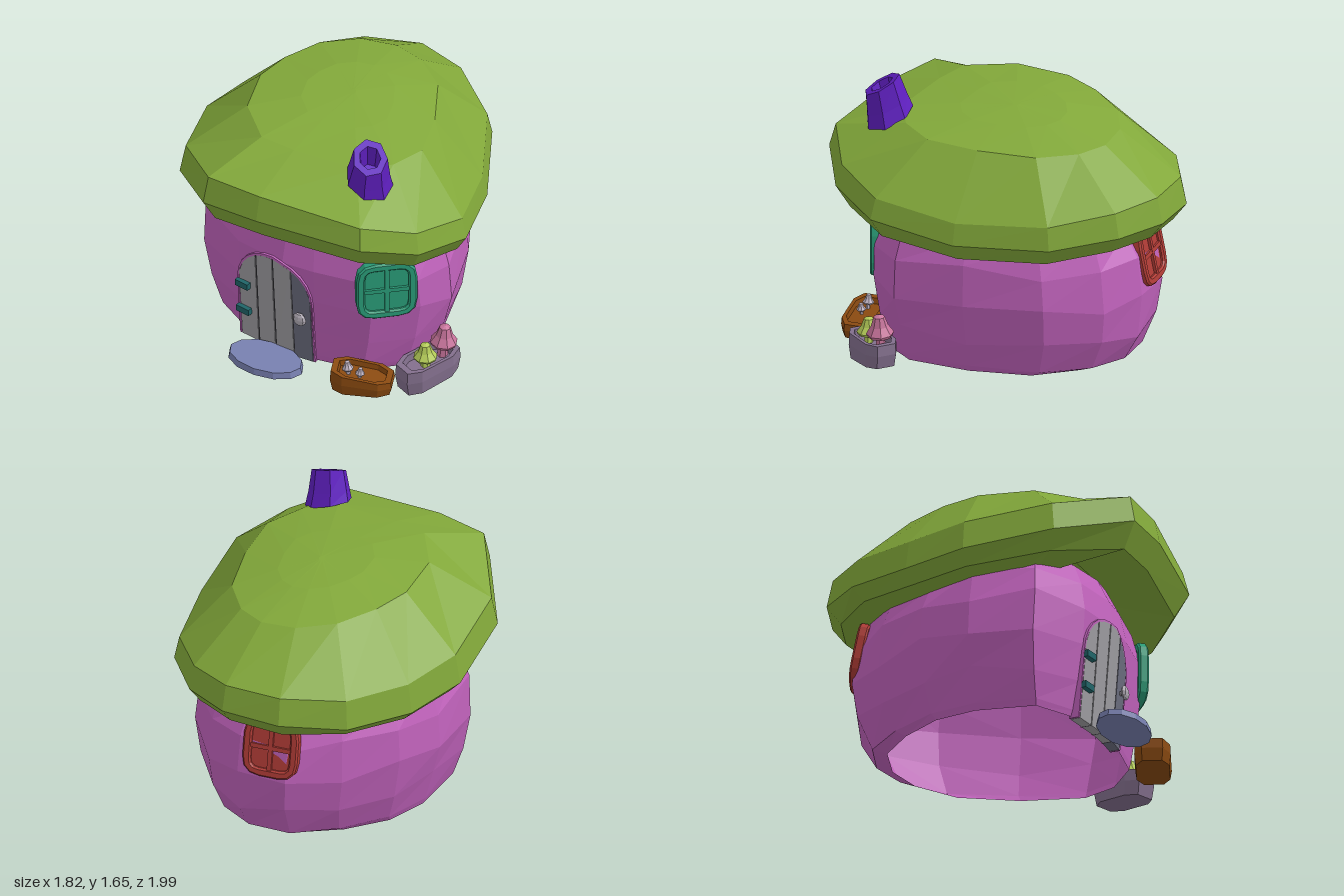
import * as THREE from 'three';

const mat = (color) => new THREE.MeshStandardMaterial({ color, flatShading: true, side: THREE.DoubleSide });
const WALL = mat(0xc062bb), ROOF = mat(0x82a83a), PURPLE = mat(0x5f1fc0), TEAL = mat(0x1f6468), GAP = mat(0x3c3a42);
const PLANK = mat(0x9f9ea2), DARK_PLANK = mat(0x6b6d7e), STONE = mat(0x7880b0), GREY = mat(0xb4aeb8);

function add(parent, name, geo, material, x = 0, y = 0, z = 0) {
  const m = new THREE.Mesh(geo, material);
  m.name = name;
  m.position.set(x, y, z);
  parent.add(m);
  return m;
}

// Skin over rings listed bottom to top, each counter-clockwise from above
function loft(rings, capStart = false) {
  const n = rings[0].length, pos = rings.flat(2), idx = [];
  for (let r = 0; r < rings.length - 1; r++)
    for (let i = 0; i < n; i++) {
      const a = r * n + i, b = r * n + (i + 1) % n;
      idx.push(a, b, b + n, a, b + n, a + n);
    }
  const cap = (r, flip) => {
    const c = pos.length / 3;
    for (let k = 0; k < 3; k++) pos.push(rings[r].reduce((s, p) => s + p[k], 0) / n);
    for (let i = 0; i < n; i++) {
      const a = r * n + i, b = r * n + (i + 1) % n;
      idx.push(...(flip ? [b, a, c] : [a, b, c]));
    }
  };
  cap(rings.length - 1, false);
  if (capStart) cap(0, true);
  const g = new THREE.BufferGeometry();
  g.setAttribute('position', new THREE.Float32BufferAttribute(pos, 3));
  g.setIndex(idx);
  g.computeVertexNormals();
  return g;
}

const ring = (n, f) => Array.from({ length: n }, (_, i) => f((i / n) * Math.PI * 2));
const sPow = (v, e) => Math.sign(v) * Math.abs(v) ** e;

// Piecewise linear interpolation through [t, value] pairs
function lerpTable(t, table) {
  for (let i = 1; i < table.length; i++)
    if (t <= table[i][0] || i === table.length - 1) {
      const [a, va] = table[i - 1], [b, vb] = table[i];
      return va + (vb - va) * (t - a) / (b - a);
    }
}

// Walls: egg-shaped plan, scaled per row (y, sideways, front, back)
const FRONT = [[-.38, .655], [-.06, .71], [.14, .7], [.48, .65]];
const PLAN = [...FRONT, [.7, .47], [.78, .25], [.66, -.16], [.45, -.58], [.17, -.795], [-.09, -.855],
  [-.37, -.77], [-.58, -.52], [-.74, -.2], [-.78, .11], [-.7, .48]];
const ROWS = [[.06, .845, .93, .75], [.1, .865, .94, .865], [.28, .94, .96, .97], [.5, 1, .985, 1], [.72, .98, 1, .965],
  [.9, .89, .945, .86], [1.05, .73, .84, .7], [1.16, .5, .65, .5], [1.25, .25, .3, .25]];

function walls() {
  return loft(ROWS.map(([y, s, f, b], r) => PLAN.map(([x, z], i) => {
    const wobble = z < .6 && r > 1 && r < 6 ? .03 * Math.sin(i * 2.3 + r * 1.7) : 0;
    return [x * s, y + wobble, z * (z > 0 ? f : b)];
  })));
}
const wallZ = (x, y) => lerpTable(x, FRONT) * lerpTable(y, ROWS.map((r) => [r[0], r[2]]));

// Roof: lopsided outline, rim height changes from back to front
function roof() {
  const outline = [[-.07, .99], [.56, .91], [.8, .66], [.91, .31], [.77, -.18], [.52, -.68], [.2, -.93],
    [-.1, -1], [-.43, -.9], [-.71, -.63], [-.86, -.24], [-.91, .13], [-.77, .63], [-.42, .98]];
  const rim = (z) => lerpTable(z, [[-1, 1], [-.65, .94], [-.2, .92], [.2, .97], [.65, 1.06], [1, 1.2]]);
  const under = (x, z) => rim(z) - .105 - .045 * Math.max(z, 0) + (x < -.5 ? .03 : 0);
  const at = (s, f) => outline.map(([x, z]) => [x * s, f(x, z), z * s]);
  return loft([
    at(.55, (x, z) => rim(z) - .1), at(.92, under), at(1, (x, z) => rim(z)),
    at(.965, (x, z) => rim(z) + .15 - .03 * x), at(.61, (x, z) => 1.42 - .03 * x + .035 * z),
    at(.3, (x, z) => 1.473 - .02 * x + .012 * z), at(.02, () => 1.489)]);
}

// Hollow leaning chimney
function chimney() {
  const r = (rad, y, cx, cz, sx, sz) => ring(7, (a) => {
    const x = rad * Math.sin(a + .3), z = rad * Math.cos(a + .3);
    return [cx + x, y + sx * x + sz * z, cz + z];
  });
  return loft([r(.135, 1.4, .43, .575, -.4, -.2), r(.12, 1.47, .437, .59, -.35, -.3), r(.1, 1.592, .455, .61, -.35, -.48),
    r(.062, 1.592, .455, .61, -.35, -.48), r(.05, 1.47, .44, .59, -.3, -.3)]);
}

function roundedRect(T, w, h, r) {
  const s = new T(), x = w / 2, y = h / 2;
  s.moveTo(-x + r, -y).lineTo(x - r, -y).quadraticCurveTo(x, -y, x, -y + r).lineTo(x, y - r);
  s.quadraticCurveTo(x, y, x - r, y).lineTo(-x + r, y).quadraticCurveTo(-x, y, -x, y - r).lineTo(-x, -y + r);
  s.quadraticCurveTo(-x, -y, -x + r, -y);
  return s;
}

// Rounded window with frame, pane and crossbars, facing +z
function windowGroup(name, color, w, h) {
  const g = new THREE.Group(), m = mat(color);
  g.name = name;
  const s = roundedRect(THREE.Shape, w - .02, h - .02, .1);
  s.holes.push(roundedRect(THREE.Path, w - .08, h - .08, .06));
  const bevel = { depth: .04, curveSegments: 3, bevelEnabled: true, bevelSize: .01, bevelThickness: .01, bevelSegments: 1 };
  add(g, 'windowFrame', new THREE.ExtrudeGeometry(s, bevel), m, 0, 0, -.02);
  add(g, 'windowPane', new THREE.BoxGeometry(w - .07, h - .07, .02), m, 0, 0, 0);
  add(g, 'windowBarUpright', new THREE.BoxGeometry(.026, h - .07, .025), m, 0, 0, .014);
  add(g, 'windowBarCross', new THREE.BoxGeometry(w - .07, .026, .025), m, 0, 0, .012);
  return g;
}

// Extrude a shape and move it so that it follows the curve of the wall
function onWall(shape, offset) {
  const geo = new THREE.ExtrudeGeometry(shape, { depth: .06, bevelEnabled: false }), p = geo.attributes.position;
  for (let i = 0; i < p.count; i++) p.setZ(i, p.getZ(i) - .06 + wallZ(p.getX(i), p.getY(i)) + offset);
  geo.computeVertexNormals();
  return geo;
}

function door() {
  const g = new THREE.Group();
  g.name = 'door';
  const cx = -.125, hw = .245;
  const top = (x) => .47 + .25 * Math.sqrt(Math.max(0, 1 - ((x - cx) / hw) ** 2));
  // board from x = a to x = b, up to the arch
  const board = (a, b) => {
    const s = new THREE.Shape().moveTo(a, .05).lineTo(b, .05);
    for (let i = 0; i <= 4; i++) { const x = b + (a - b) * i / 4; s.lineTo(x, top(x)); }
    return s;
  };
  const edges = [-.37, -.245, -.125, 0, .12];
  for (let k = 0; k < 4; k++) {
    add(g, 'doorPlank', onWall(board(edges[k] + .004, edges[k + 1] - .004), .014), k === 3 ? DARK_PLANK : PLANK);
    if (k) add(g, 'plankGap', onWall(board(edges[k] - .005, edges[k] + .005), .009), GAP);
  }
  // arched surround
  const pts = (w, h) => [[cx + w, .05], ...Array.from({ length: 13 }, (_, i) =>
    [cx + w * Math.cos(i / 12 * Math.PI), .47 + h * Math.sin(i / 12 * Math.PI)]), [cx - w, .05]];
  const arch = new THREE.Shape([...pts(.256, .265), ...pts(.245, .25).reverse()].map(([x, y]) => new THREE.Vector2(x, y)));
  add(g, 'doorSurround', onWall(arch, .014), WALL);
  for (const y of [.25, .44])
    add(g, 'hinge', new THREE.BoxGeometry(.09, .04, .05), TEAL, -.335, y, wallZ(-.335, y) + .015).rotation.y = -.17;
  const z = wallZ(.06, .37);
  add(g, 'doorKnob', new THREE.SphereGeometry(.043, 8, 6), GREY, .06, .37, z + .04).scale.z = .45;
  add(g, 'knobStem', new THREE.CylinderGeometry(.015, .015, .05, 6), GREY, .06, .37, z + .02).rotation.x = Math.PI / 2;
  return g;
}

// Long eight-sided trough with a sunken bed and sloping rim
function planter(name, color, L, W, H, baseSlope, rimSlope) {
  const r = (s, y, slope) => ring(8, (a) => {
    const x = L / 2 * s * sPow(Math.sin(a + .39), .6), z = W / 2 * s * sPow(Math.cos(a + .39), .6);
    return [x, y + slope * x, z];
  });
  const g = new THREE.Group();
  g.name = name;
  add(g, name + 'Box', loft([r(.95, 0, baseSlope), r(1.03, H * .55, (baseSlope + rimSlope) / 2), r(1, H, rimSlope),
    r(.8, H, rimSlope), r(.76, H * .7, rimSlope)], true), mat(color));
  return g;
}

function mushroom(name, color, r, h, x, y, z, tilt) {
  const g = new THREE.Group(), m = mat(color), V = (a, b) => new THREE.Vector2(a * r, b * h);
  g.name = name;
  add(g, 'mushroomStem', new THREE.CylinderGeometry(r * .28, r * .4, h * .6, 6), m, 0, h * .3, 0);
  add(g, 'mushroomCap', new THREE.LatheGeometry([V(0, .5), V(.9, .42), V(1, .5), V(.62, .7), V(.4, .94), V(0, 1)], 8), m);
  g.position.set(x, y, z);
  g.rotation.z = tilt;
  return g;
}

export function createModel() {
  const house = new THREE.Group();
  house.name = 'mushroomHouse';
  add(house, 'walls', walls(), WALL);
  add(house, 'roof', roof(), ROOF);
  add(house, 'chimney', chimney(), PURPLE);
  house.add(door());

  // windows
  const front = windowGroup('frontWindow', 0x2a9c78, .35, .38);
  front.position.set(.545, .68, .583);
  front.rotation.y = .7;
  const back = windowGroup('backWindow', 0xb03c36, .33, .36);
  back.position.set(-.265, .705, -.76);
  back.rotation.set(-.2, Math.PI + .34, 0, 'YXZ');
  house.add(front, back);

  // doorstep
  const step = add(house, 'doorstep', new THREE.CylinderGeometry(.225, .235, .04, 12), STONE, -.12, .065, .79);
  step.scale.z = .6;

  // planters
  const wood = planter('woodPlanter', 0x8a4a10, .36, .21, .11, 0, -.14);
  wood.position.set(.47, .05, .725);
  wood.rotation.y = .36;
  const stone = planter('stonePlanter', 0x84708e, .38, .2, .15, .13, .08);
  stone.position.set(.735, .025, .44);
  stone.rotation.y = 1.14;
  house.add(wood, stone);

  // mushrooms
  house.add(
    mushroom('greenMushroom', 0xb4cc58, .07, .18, .735, .105, .47, 0),
    mushroom('pinkMushroom', 0xc8749c, .08, .23, .775, .125, .345, -.08),
    mushroom('smallMushroom', 0xc0b4c4, .034, .1, .4, .125, .76, .1),
    mushroom('smallMushroom', 0xc0b4c4, .028, .08, .465, .12, .75, -.1));
  return house;
}
